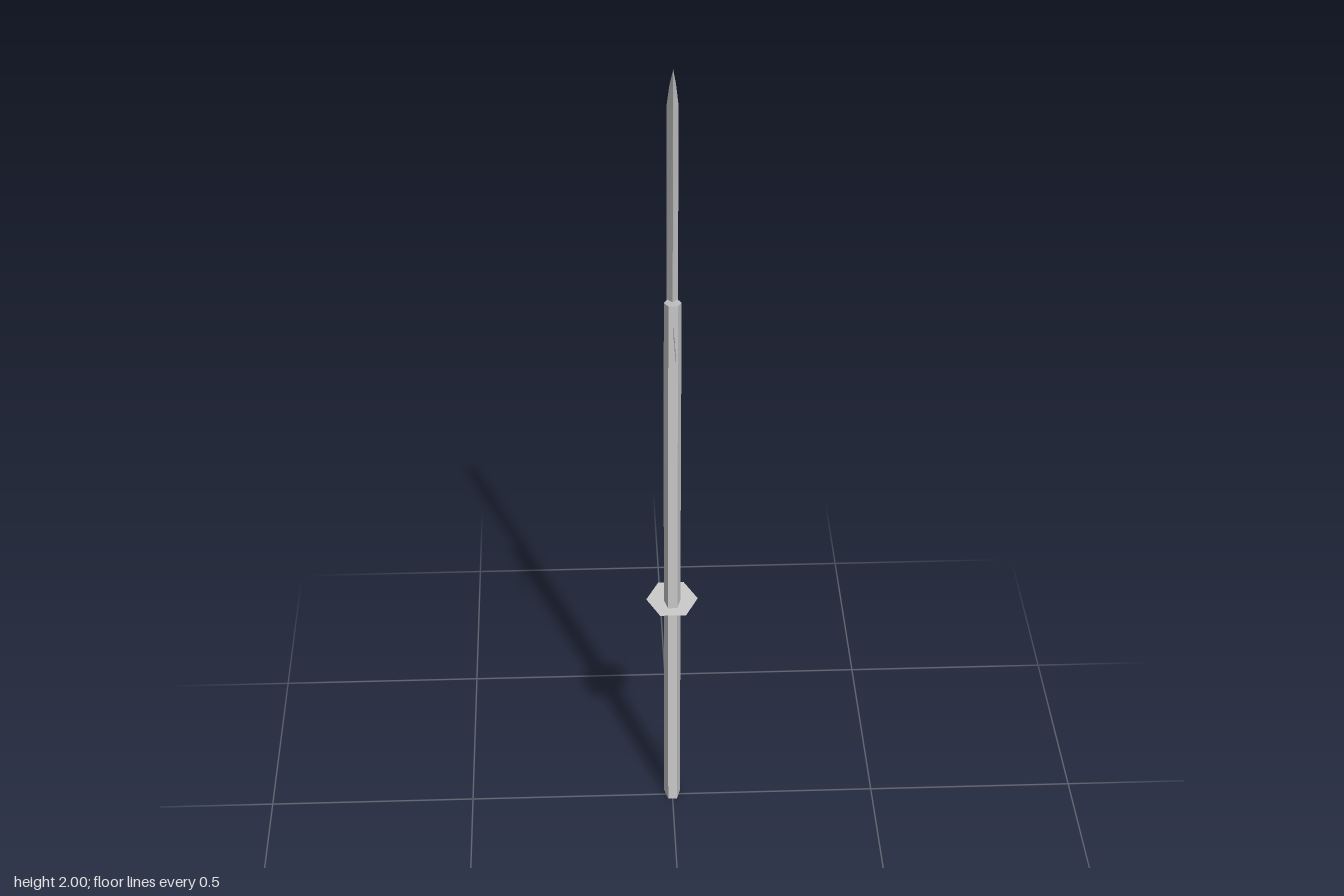
import * as THREE from 'three';

const material = new THREE.MeshStandardMaterial({ color: 0xcccccc, flatShading: true, side: THREE.DoubleSide });

function addMesh(group, name, geometry) {
  const mesh = new THREE.Mesh(geometry, material);
  mesh.name = name;
  group.add(mesh);
  return mesh;
}

// Skin a stack of rings (counter-clockwise from above) and cap both ends
function loft(rings) {
  const positions = [];
  const tri = (...corners) => corners.forEach((p) => positions.push(...p));
  const n = rings[0].length;
  for (let r = 0; r < rings.length - 1; r++) {
    const low = rings[r], high = rings[r + 1];
    for (let i = 0; i < n; i++) {
      const j = (i + 1) % n;
      tri(low[i], low[j], high[j]);
      tri(low[i], high[j], high[i]);
    }
  }
  const bottom = rings[0], top = rings[rings.length - 1];
  for (let i = 1; i < n - 1; i++) {
    tri(bottom[0], bottom[i + 1], bottom[i]);
    tri(top[0], top[i], top[i + 1]);
  }
  const geometry = new THREE.BufferGeometry();
  geometry.setAttribute('position', new THREE.Float32BufferAttribute(positions, 3));
  geometry.computeVertexNormals();
  return geometry;
}

// Hexagon with flat front and back, points to the sides
function hexRing(yFront, yBack, zFront, zBack, halfWidth = 0.02, halfFlat = 0.011) {
  const yMid = (yFront + yBack) / 2, zMid = (zFront + zBack) / 2;
  return [
    [-halfFlat, yFront, zFront], [halfFlat, yFront, zFront], [halfWidth, yMid, zMid],
    [halfFlat, yBack, zBack], [-halfFlat, yBack, zBack], [-halfWidth, yMid, zMid],
  ];
}

// Diamond blade section: cutting edge forward, spine behind
function bladeRing(y, zEdge, zRidge, zSpine, halfWidth) {
  return [[0, y, zEdge], [halfWidth, y, zRidge], [0, y, zSpine], [-halfWidth, y, zRidge]];
}

// Flat chain of diamonds lying in the x = 0 plane
function tasselGeometry(length, count, halfHeight, neck) {
  const step = length / count;
  const upper = [[0, neck]];
  for (let i = 0; i < count; i++) {
    upper.push([(i + 0.5) * step, halfHeight]);
    upper.push([(i + 1) * step, i === count - 1 ? 0 : neck]);
  }
  const lower = upper.slice(0, -1).reverse().map(([u, v]) => [u, -v]);
  const shape = new THREE.Shape([...upper, ...lower].map(([u, v]) => new THREE.Vector2(u, v)));
  return new THREE.ShapeGeometry(shape).rotateY(-Math.PI / 2);
}

export function createModel() {
  const group = new THREE.Group();
  group.name = 'sword';
  const guardY = 0.585;

  // Straight hexagonal handle
  addMesh(group, 'handle', loft([
    hexRing(0, 0, 0.018, -0.05),
    hexRing(guardY, guardY, 0.018, -0.05),
  ]));

  // Leaning scabbard
  addMesh(group, 'scabbard', loft([
    hexRing(guardY, guardY, 0.018, -0.05),
    hexRing(1.0, 1.0, 0.032, -0.034),
    hexRing(1.43, 1.415, 0.05, -0.01),
  ]));

  // Blade with its spine showing behind the scabbard
  addMesh(group, 'blade', loft([
    bladeRing(guardY, -0.002, -0.026, -0.05, 0.013),
    bladeRing(1.0, 0.004, -0.02, -0.045, 0.013),
    bladeRing(1.42, 0.015, -0.01, -0.035, 0.013),
    bladeRing(1.9, 0.039, 0.009, -0.02, 0.013),
    bladeRing(1.955, 0.042, 0.022, -0.002, 0.007),
    bladeRing(2.0, 0.045, 0.045, 0.045, 0),
  ]));

  // Thin hexagonal guard
  const guardShape = new THREE.Shape(
    hexRing(0, 0, 0.069, -0.069, 0.062, 0.031).map(([x, , z]) => new THREE.Vector2(x, -z)),
  );
  addMesh(group, 'guard', new THREE.ShapeGeometry(guardShape).rotateX(-Math.PI / 2))
    .position.set(0, guardY, -0.021);

  // Cord tassels at scabbard mouth and handle end
  const tassel = tasselGeometry(0.148, 3, 0.017, 0.004);
  addMesh(group, 'scabbardTassel', tassel).position.set(0, 1.375, 0.05);
  const handleTassel = addMesh(group, 'handleTassel', tassel);
  handleTassel.position.set(0, 0.07, -0.048);
  handleTassel.rotation.y = Math.PI;

  return group;
}
